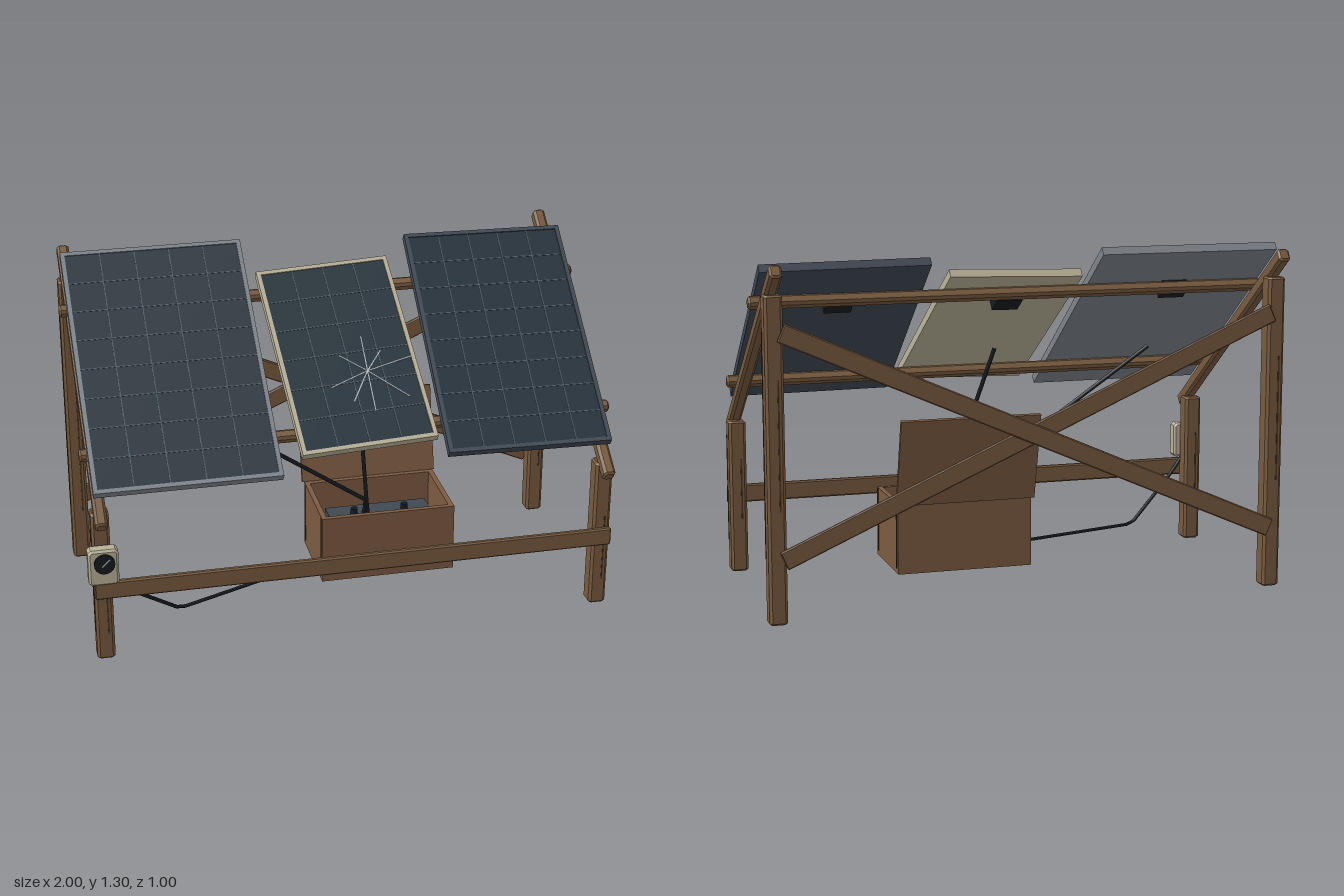
import * as THREE from 'three';

const mat = (name, color) => {
  const m = new THREE.MeshStandardMaterial({ color });
  m.name = name;
  return m;
};

export function createModel() {
  const wood = mat('wood', 0x785a3e), crate = mat('crateWood', 0x7b5a41), grain = mat('darkWood', 0x47331f);
  const grey = mat('greyFrame', 0x7c838a), slate = mat('slateFrame', 0x3f4853), beige = mat('beige', 0xb8b097);
  const cell = mat('cells', 0x22303a), line = mat('cellLines', 0x4d5b65), black = mat('black', 0x171b1f);
  const pale = mat('pale', 0xb9c2c6);

  const root = new THREE.Group();
  root.name = 'solarArray';

  const add = (parent, name, geo, material, x = 0, y = 0, z = 0) => {
    const m = new THREE.Mesh(geo, material);
    m.name = name;
    m.position.set(x, y, z);
    parent.add(m);
    return m;
  };
  const box = (parent, name, material, w, h, d, x, y, z) =>
    add(parent, name, new THREE.BoxGeometry(w, h, d), material, x, y, z);

  // Timber with all edges chamfered, running along z before it is turned
  const timber = (w, h, len, c = 0.007) => {
    const a = w / 2 - c, b = h / 2 - c, k = c * 0.8;
    const s = new THREE.Shape([
      [-a + k, -b], [a - k, -b], [a, -b + k], [a, b - k],
      [a - k, b], [-a + k, b], [-a, b - k], [-a, -b + k],
    ].map(p => new THREE.Vector2(...p)));
    const g = new THREE.ExtrudeGeometry(s, {
      depth: len - 2 * c, bevelEnabled: true, bevelSize: c, bevelThickness: c, bevelSegments: 1,
    });
    return g.translate(0, 0, -len / 2 + c);
  };

  // Posts, with dark grain cracks on their faces
  for (const sx of [-1, 1]) {
    for (const [name, z, h] of [['frontPost', 0.402, 0.595], ['backPost', -0.398, 1.178]]) {
      add(root, name, timber(0.066, 0.07, h).rotateX(-Math.PI / 2), wood, sx * 0.945, h / 2, z);
      box(root, 'postGrain', grain, 0.004, h * 0.7, 0.006, sx * 0.978, h * 0.55, z + 0.018);
      box(root, 'postGrain', grain, 0.006, h * 0.45, 0.004, sx * 0.945 + 0.012, h * 0.4, z + 0.035);
      box(root, 'postGrain', grain, 0.006, h * 0.4, 0.004, sx * 0.945 - 0.012, h * 0.55, z - 0.035);
    }
  }

  // Front rail and crossed back braces
  add(root, 'frontRail', timber(0.022, 0.07, 1.955, 0.004).rotateY(Math.PI / 2), wood, 0, 0.295, 0.447);
  for (const s of [-1, 1]) {
    const brace = add(root, 'backBrace', timber(0.016, 0.07, 2.02, 0.003).rotateY(Math.PI / 2), wood,
      0, 0.642, s < 0 ? -0.438 : -0.45);
    brace.rotation.z = s * 0.415;
  }

  // Sloping deck: local y runs up the slope, local z is the slope's normal
  const deck = new THREE.Group();
  deck.name = 'slopingDeck';
  deck.position.y = 0.917;
  deck.rotation.x = -0.942;
  root.add(deck);
  for (const sx of [-1, 1])
    add(deck, 'rafter', timber(0.045, 0.052, 1.2).rotateX(-Math.PI / 2), wood, sx * 0.945, 0, 0);
  for (const y of [-0.327, 0.287])
    add(deck, 'purlin', timber(0.042, 0.042, 1.99).rotateY(Math.PI / 2), wood, 0, y, 0.05);

  // Solar panel: back tray, raised lip, cell sheet and cell lines
  const panel = (name, frame, w, h, cols, rows, x, y, turn, boxY) => {
    const p = new THREE.Group();
    p.name = name;
    p.position.set(x, y, 0.088);
    p.rotation.z = turn;
    deck.add(p);
    const lip = 0.016, iw = w - 2 * lip, ih = h - 2 * lip;
    const rect = (C, a, b) => new C([[-a, -b], [a, -b], [a, b], [-a, b]]
      .map(q => new THREE.Vector2(q[0] / 2, q[1] / 2)));
    const rim = rect(THREE.Shape, w, h);
    rim.holes.push(rect(THREE.Path, iw, ih));
    add(p, 'panelRim', new THREE.ExtrudeGeometry(rim, { depth: 0.01, bevelEnabled: false }), frame, 0, 0, 0.006);
    box(p, 'panelBack', frame, w, h, 0.022, 0, 0, -0.005);
    box(p, 'cellSheet', cell, iw, ih, 0.006, 0, 0, 0.009);
    for (let i = 1; i < cols; i++)
      box(p, 'cellLine', line, 0.004, ih, 0.002, (i / cols - 0.5) * iw, 0, 0.0125);
    for (let j = 1; j < rows; j++)
      box(p, 'cellLine', line, iw, 0.004, 0.002, 0, (j / rows - 0.5) * ih, 0.0125);
    box(p, 'junctionBox', black, 0.1, 0.07, 0.036, 0, boxY, -0.034);
    return p;
  };
  panel('rightPanel', grey, 0.684, 1.025, 5, 8, -0.625, -0.002, 0, 0.27);
  const cracked = panel('middlePanel', beige, 0.512, 0.8, 4, 6, 0.032, -0.028, 0.055, 0.25);
  panel('leftPanel', slate, 0.62, 0.965, 5, 8, 0.655, -0.012, -0.02, 0.26);

  // Shatter marks on the middle panel
  const rays = [[-0.15, -0.05], [0.19, 0.04], [-0.09, 0.08], [0.13, -0.13], [0.01, 0.15],
    [-0.01, -0.17], [-0.08, -0.12], [0.07, 0.08]];
  for (const [dx, dy] of rays) {
    const ray = box(cracked, 'crack', pale, Math.hypot(dx, dy), 0.004, 0.002, 0.062 + dx / 2, -0.09 + dy / 2, 0.0145);
    ray.rotation.z = Math.atan2(dy, dx);
  }

  // Open battery crate with a leaning lid
  const cx = 0.18;
  box(root, 'crateFloor', crate, 0.52, 0.02, 0.33, cx, 0.088, 0.015);
  for (const z of [0.17, -0.14]) box(root, 'crateWall', crate, 0.52, 0.268, 0.02, cx, 0.212, z);
  for (const s of [-1, 1]) {
    box(root, 'crateEnd', crate, 0.02, 0.268, 0.29, cx + s * 0.25, 0.212, 0.015);
    for (const z of [0.16, -0.13])
      box(root, 'crateSeam', grain, 0.004, 0.245, 0.008, cx + s * 0.26, 0.22, z);
  }
  const lid = box(root, 'crateLid', crate, 0.535, 0.342, 0.015, cx, 0.51, -0.199);
  lid.rotation.x = -0.243;
  box(root, 'battery', slate, 0.4, 0.18, 0.14, cx, 0.188, 0.03);
  for (const x of [0.08, 0.28])
    add(root, 'batteryTerminal', new THREE.CylinderGeometry(0.014, 0.014, 0.025, 8), black, x, 0.29, 0.03);

  // Meter on the right front post
  add(root, 'meterCase', timber(0.11, 0.142, 0.052, 0.008), beige, -0.945, 0.405, 0.463);
  add(root, 'meterDial', new THREE.CylinderGeometry(0.038, 0.038, 0.01, 20).rotateX(Math.PI / 2), black,
    -0.942, 0.424, 0.493);
  const needle = box(root, 'meterNeedle', pale, 0.004, 0.04, 0.002, -0.937, 0.43, 0.499);
  needle.rotation.z = -0.8;

  // Cables: straight runs joined at the bends
  const cable = (name, r, pts) => {
    const v = pts.map(p => new THREE.Vector3(...p));
    const path = new THREE.CurvePath();
    for (let i = 1; i < v.length; i++) path.add(new THREE.LineCurve3(v[i - 1], v[i]));
    add(root, name, new THREE.TubeGeometry(path, 24, r, 6), black);
  };
  cable('meterCable', 0.007, [[-0.93, 0.34, 0.44], [-0.85, 0.26, 0.4], [-0.65, 0.098, 0.295], [-0.075, 0.113, 0.075]]);
  cable('rightPanelCable', 0.008, [[-0.6, 0.876, 0], [-0.22, 0.585, 0.075], [0.12, 0.35, 0.066], [0.11, 0.28, 0.05]]);
  cable('middlePanelCable', 0.008, [[0.03, 0.9, -0.035], [0.105, 0.62, 0.04], [0.12, 0.35, 0.066], [0.13, 0.28, 0.05]]);

  return root;
}
